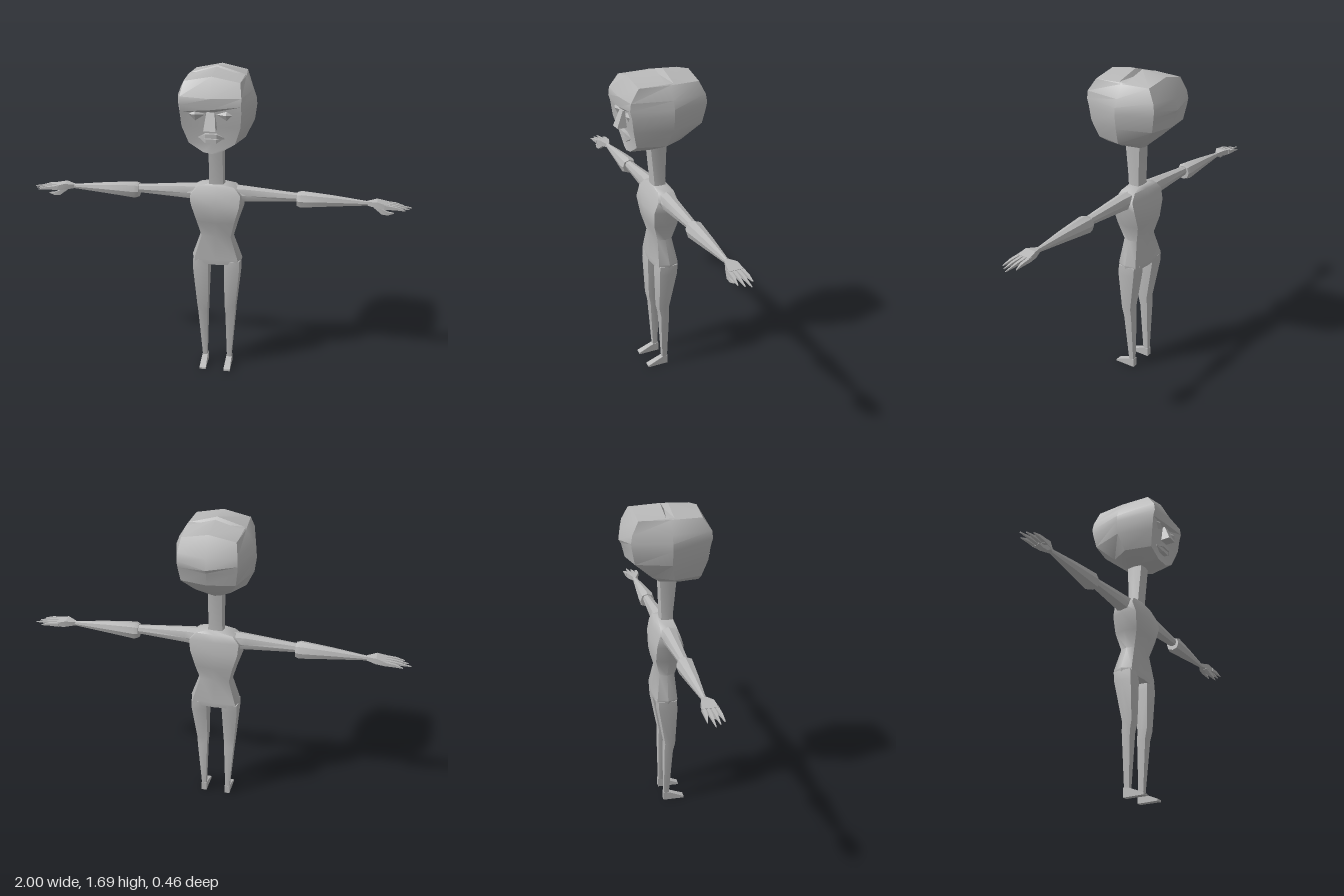
import * as THREE from 'three';
import { toCreasedNormals } from 'three/addons/utils/BufferGeometryUtils.js';

const clay = new THREE.MeshStandardMaterial({ color: 0xb8b8b8 });
clay.name = 'clay grey';

// Skins a list of equal-length point loops, closes both ends, and orients faces outward.
function loft(rings, crease = 0.6) {
  const n = rings[0].length;
  const pts = rings.flat();
  const tris = [];
  for (let r = 0; r < rings.length - 1; r++) {
    for (let i = 0; i < n; i++) {
      const a = r * n + i, b = r * n + (i + 1) % n;
      tris.push([a, b, b + n], [a, b + n, a + n]);
    }
  }
  const last = (rings.length - 1) * n;
  [0, last].forEach((start) => {
    const c = [0, 1, 2].map((k) => pts.slice(start, start + n).reduce((s, p) => s + p[k], 0) / n);
    pts.push(c);
    for (let i = 0; i < n; i++) {
      const a = start + i, b = start + (i + 1) % n;
      tris.push(start ? [a, b, pts.length - 1] : [b, a, pts.length - 1]);
    }
  });
  const v = pts.map((p) => new THREE.Vector3(...p));
  const origin = v[0];
  let volume = 0;
  for (const [a, b, c] of tris) {
    const [p, q, s] = [a, b, c].map((i) => v[i].clone().sub(origin));
    volume += p.dot(q.cross(s));
  }
  const index = tris.flatMap(([a, b, c]) => (volume < 0 ? [a, c, b] : [a, b, c]));
  const geo = new THREE.BufferGeometry();
  geo.setAttribute('position', new THREE.Float32BufferAttribute(pts.flat(), 3));
  geo.setIndex(index);
  return toCreasedNormals(geo, crease);
}

// Eight-sided loop with chamfered corners, as [u, v] pairs between the given limits.
function octagon(u0, u1, v0, v1, k = 0.86) {
  const u = (u0 + u1) / 2, v = (v0 + v1) / 2, a = (u1 - u0) / 2, b = (v1 - v0) / 2;
  return [[1, 0], [k, k], [0, 1], [-k, k], [-1, 0], [-k, -k], [0, -1], [k, -k]]
    .map(([s, t]) => [u + a * s, v + b * t]);
}
const quad = (u0, u1, v0, v1) => [[u0, v0], [u1, v0], [u1, v1], [u0, v1]];

const levelRing = (y, x0, x1, z0, z1) => octagon(x0, x1, z0, z1).map(([x, z]) => [x, y, z]);
const limbRing = (x, y0, y1, z0, z1) => octagon(y0, y1, z0, z1, 0.75).map(([y, z]) => [x, y, z]);
const boxRingX = (x, y0, y1, z0, z1) => quad(y0, y1, z0, z1).map(([y, z]) => [x, y, z]);
const boxRingZ = (z, x0, x1, y0, y1) => quad(x0, x1, y0, y1).map(([x, y]) => [x, y, z]);

export function createModel() {
  const model = new THREE.Group();
  model.name = 'figure';
  const add = (name, geo) => {
    const mesh = new THREE.Mesh(geo, clay);
    mesh.name = name;
    model.add(mesh);
    return mesh;
  };
  // Lofts a part given for the left side on both sides of the body.
  const addPair = (name, rings, crease) => {
    add(name + 'Left', loft(rings, crease));
    add(name + 'Right', loft(rings.map((r) => r.map(([x, y, z]) => [-x, y, z])), crease));
  };

  // Head: corner y, centre y, front centre z, front corner x z, side x z, back corner x z, back centre z
  const headRing = ([y, yc, zf, fx, fz, sx, sz, bx, bz, zb]) => [
    [0, yc, zf], [fx, y, fz], [sx, y, sz], [bx, y, bz],
    [0, yc, zb], [-bx, y, bz], [-sx, y, sz], [-fx, y, fz],
  ];
  add('head', loft([
    [1.295, 1.29, 0.175, 0.04, 0.17, 0.055, 0.07, 0.035, -0.03, -0.035],
    [1.34, 1.34, 0.165, 0.115, 0.165, 0.15, 0.02, 0.09, -0.08, -0.095],
    [1.43, 1.43, 0.18, 0.145, 0.19, 0.192, 0, 0.135, -0.175, -0.2],
    [1.505, 1.5, 0.185, 0.15, 0.2, 0.202, 0, 0.145, -0.19, -0.217],
    [1.54, 1.52, 0.21, 0.15, 0.21, 0.2, 0, 0.148, -0.195, -0.23],
    [1.58, 1.575, 0.215, 0.15, 0.205, 0.185, 0, 0.145, -0.188, -0.218],
    [1.645, 1.672, 0.165, 0.138, 0.16, 0.146, 0, 0.133, -0.155, -0.16],
    [1.65, 1.69, 0.02, 0.135, 0.02, 0.14, 0, 0.135, -0.02, -0.02],
  ].map(headRing), 0.5));

  // Face
  add('nose', loft([
    [1.42, 0.03, 0.232], [1.455, 0.026, 0.218], [1.505, 0.02, 0.198],
  ].map(([y, w, z]) => quad(-w, w, 0.16, z).map(([x, d]) => [x, y, d])), 0.3));
  for (const s of [1, -1]) {
    const eye = new THREE.ConeGeometry(1, 1, 4).toNonIndexed();
    eye.rotateX(Math.PI / 2);
    eye.scale(0.055, 0.037, 0.02);
    eye.computeVertexNormals();
    add(s > 0 ? 'eyeLeft' : 'eyeRight', eye).position.set(s * 0.077, 1.493, 0.195);
  }
  const lip = (name, w, y0, y1, z) => add(name, loft([-1, -0.45, 0.45, 1].map((t) => {
    const end = Math.abs(t) === 1;
    return boxRingX(t * w, end ? 1.368 : y0, end ? 1.374 : y1, 0.15, end ? 0.174 : z);
  }), 0.3));
  lip('upperLip', 0.064, 1.374, 1.395, 0.195);
  lip('lowerLip', 0.058, 1.347, 1.368, 0.19);

  // Neck and torso
  add('neck', loft([
    levelRing(1.06, -0.045, 0.045, -0.028, 0.042),
    levelRing(1.12, -0.042, 0.042, -0.027, 0.045),
    levelRing(1.31, -0.042, 0.042, -0.036, 0.066),
  ]));
  add('torso', loft([
    levelRing(0.63, -0.128, 0.128, -0.066, 0.052),
    levelRing(0.66, -0.136, 0.136, -0.07, 0.055),
    levelRing(0.79, -0.09, 0.09, -0.048, 0.045),
    levelRing(0.88, -0.115, 0.115, -0.075, 0.075),
    levelRing(0.97, -0.145, 0.145, -0.075, 0.087),
    levelRing(1.03, -0.15, 0.15, -0.06, 0.065),
    levelRing(1.07, -0.11, 0.11, -0.05, 0.05),
    levelRing(1.085, -0.045, 0.045, -0.035, 0.042),
  ], 0.8));

  // Legs and feet
  addPair('leg', [
    levelRing(0.65, 0.037, 0.131, -0.065, 0.05),
    levelRing(0.6, 0.036, 0.132, -0.062, 0.053),
    levelRing(0.38, 0.042, 0.11, -0.021, 0.043),
    levelRing(0.33, 0.045, 0.106, -0.024, 0.031),
    levelRing(0.04, 0.055, 0.082, -0.02, 0.012),
  ]);
  addPair('foot', [
    boxRingZ(-0.021, 0.053, 0.083, 0, 0.05),
    boxRingZ(0.013, 0.053, 0.083, 0, 0.045),
    boxRingZ(0.095, 0.05, 0.086, 0, 0.01),
  ], 0.3);

  // Arms with a flared elbow
  addPair('upperArm', [
    limbRing(0.08, 0.98, 1.074, -0.05, 0.05),
    limbRing(0.16, 0.985, 1.07, -0.038, 0.04),
    limbRing(0.43, 1.002, 1.046, -0.022, 0.024),
  ]);
  addPair('forearm', [
    limbRing(0.418, 0.977, 1.052, -0.036, 0.038),
    limbRing(0.44, 0.969, 1.06, -0.042, 0.045),
    limbRing(0.6, 0.985, 1.046, -0.028, 0.03),
    limbRing(0.79, 1.002, 1.024, -0.009, 0.01),
  ], 0.5);

  // Hands
  addPair('palm', [
    boxRingX(0.775, 1.004, 1.024, -0.008, 0.009),
    boxRingX(0.825, 1.0, 1.032, -0.028, 0.032),
    boxRingX(0.875, 0.998, 1.02, -0.034, 0.04),
  ], 0.3);
  [[-0.026, -0.034, 0.96], [-0.007, -0.008, 1], [0.013, 0.017, 0.985], [0.032, 0.042, 0.965]]
    .forEach(([z, tipZ, tipX], i) => addPair('finger' + (i + 1), [
      boxRingX(0.86, 0.999, 1.02, z - 0.009, z + 0.009),
      boxRingX(0.92, 1.0, 1.014, (z + tipZ) / 2 - 0.007, (z + tipZ) / 2 + 0.007),
      boxRingX(tipX, 0.997, 1.001, tipZ - 0.002, tipZ + 0.002),
    ], 0.3));
  addPair('thumb', [
    boxRingX(0.81, 0.998, 1.015, 0.005, 0.025),
    boxRingX(0.85, 0.97, 0.996, 0.015, 0.036),
    boxRingX(0.88, 0.967, 0.983, 0.02, 0.036),
    boxRingX(0.91, 0.976, 0.98, 0.026, 0.031),
  ], 0.3);

  return model;
}
